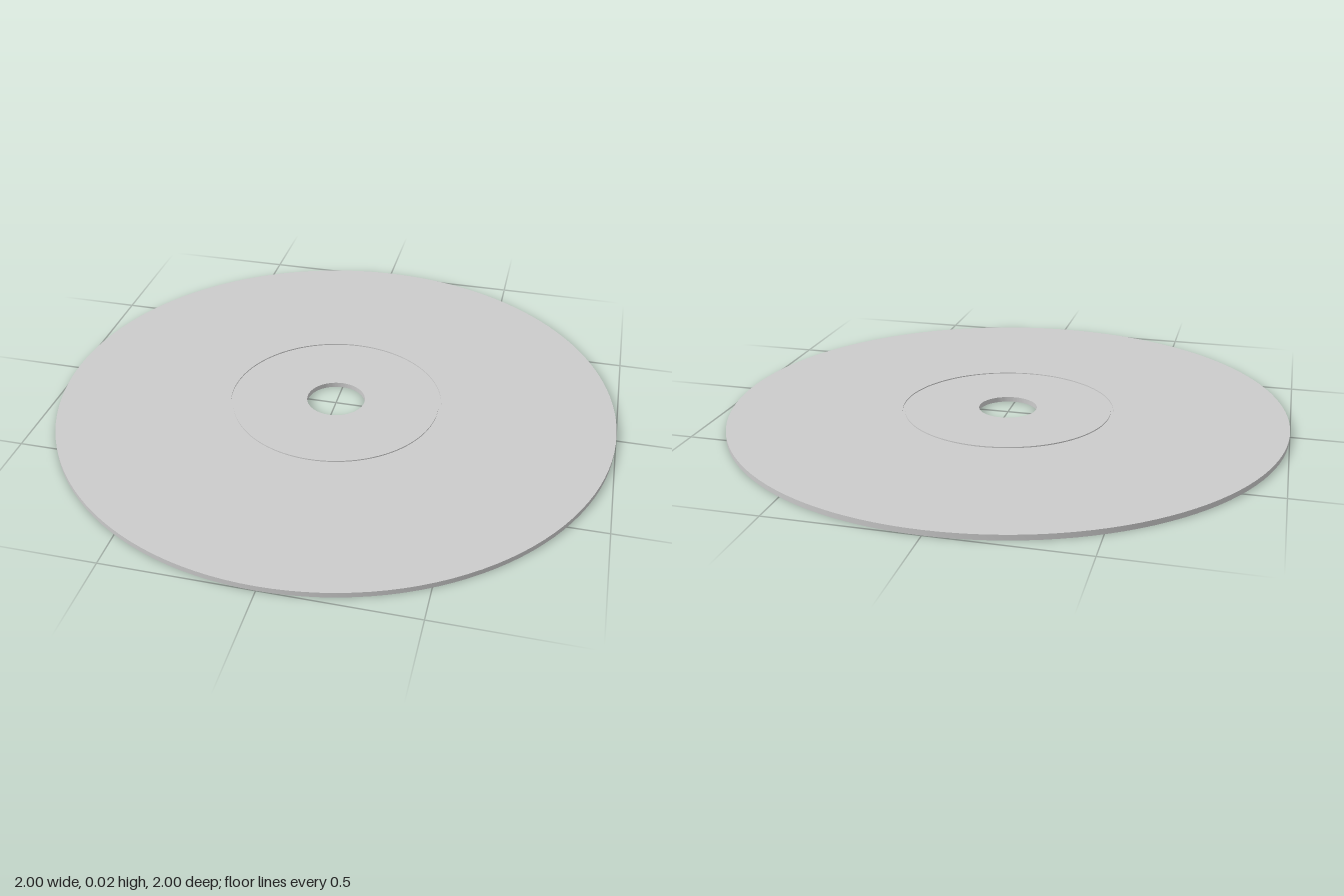
import * as THREE from 'three';
import { toCreasedNormals } from 'three/addons/utils/BufferGeometryUtils.js';

const RADIUS = 1, HOLE = 0.105, THICKNESS = 0.018;
const GROOVE_IN = 0.373, GROOVE_OUT = 0.382, GROOVE_DEPTH = 0.004;

export function createModel() {
  const group = new THREE.Group();
  group.name = 'disc';

  // Closed cross-section: underside outwards, up the rim, top inwards, down the hole
  const underside = [
    [HOLE, 0],
    [GROOVE_IN, 0], [GROOVE_IN, GROOVE_DEPTH],
    [GROOVE_OUT, GROOVE_DEPTH], [GROOVE_OUT, 0],
    [RADIUS, 0],
  ];
  const top = underside.map(([r, y]) => [r, THICKNESS - y]).reverse();
  const profile = [...underside, ...top, underside[0]].map(([r, y]) => new THREE.Vector2(r, y));

  // Flat plate with a centre hole and a ring groove on both faces
  const geometry = toCreasedNormals(new THREE.LatheGeometry(profile, 128), Math.PI / 6);
  const plate = new THREE.Mesh(geometry, new THREE.MeshStandardMaterial({ color: 0xcccccc }));
  plate.name = 'groovedPlate';
  group.add(plate);

  return group;
}
